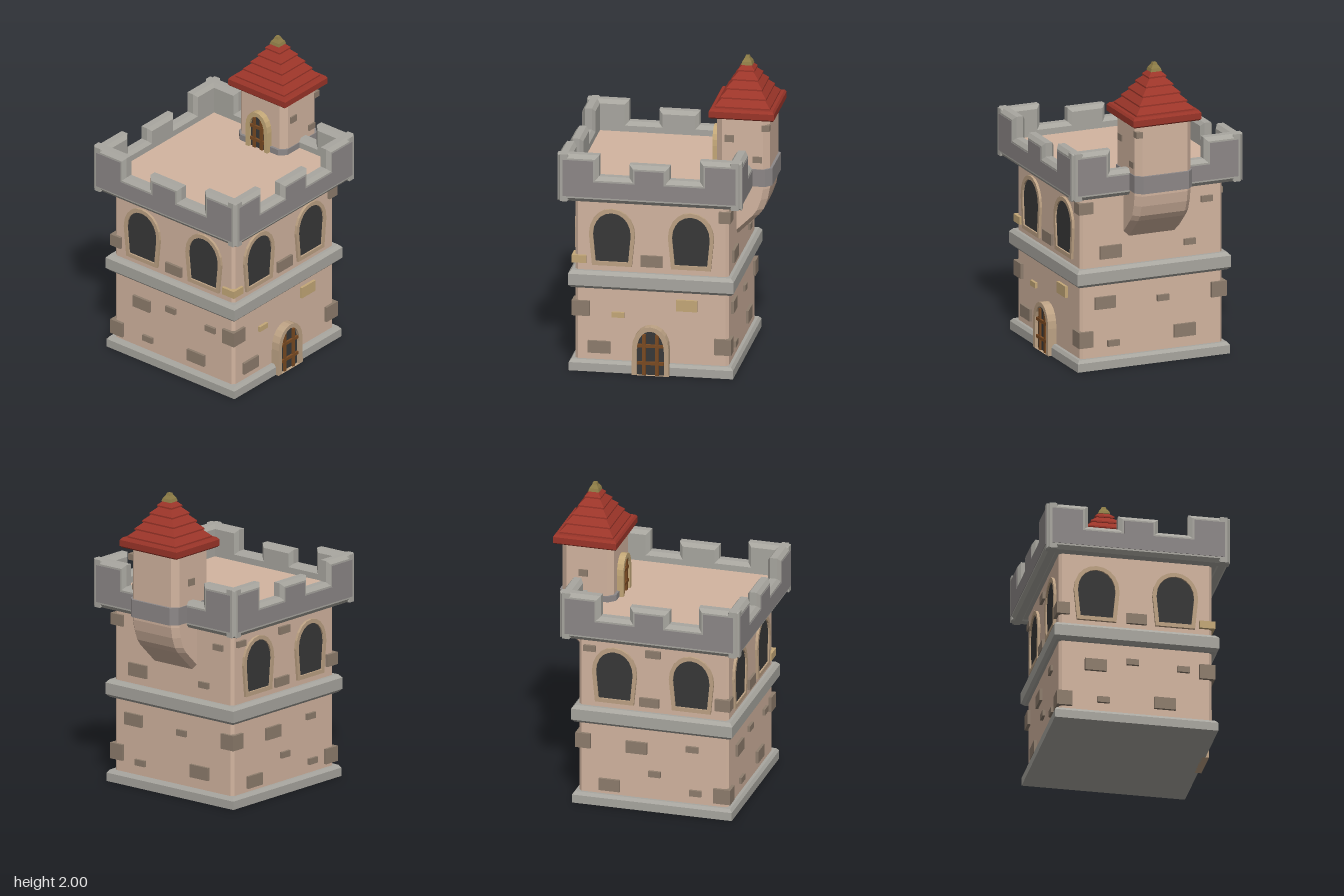
import * as THREE from 'three';

const C = {
  wall: 0xd3b5a0, trim: 0xa9a7a0, panel: 0x8d8888, brick: 0x8e7d6d, gold: 0xc4a878,
  frame: 0xbda284, dark: 0x383838, wood: 0x7a4a22, roof: 0x9c3529, finial: 0x8d7c46,
};
const mats = {};
const mat = (key) => (mats[key] ??= new THREE.MeshStandardMaterial({ color: C[key], flatShading: true }));

function add(parent, geo, key, name, x = 0, y = 0, z = 0) {
  const m = new THREE.Mesh(geo, mat(key));
  m.name = name;
  m.position.set(x, y, z);
  parent.add(m);
  return m;
}

// Stack of rectangular sections [y, halfX, halfZ, centreX], corners cut by c
function loft(rings, c = 0) {
  const loops = rings.map(([y, hx, hz, cx = 0]) => {
    const pts = c
      ? [[hx - c, hz], [hx, hz - c], [hx, c - hz], [hx - c, -hz], [c - hx, -hz], [-hx, c - hz], [-hx, hz - c], [c - hx, hz]]
      : [[hx, hz], [hx, -hz], [-hx, -hz], [-hx, hz]];
    return pts.map(([x, z]) => [cx + x, y, z]);
  });
  const out = [], n = loops[0].length, last = loops[loops.length - 1];
  const tri = (...p) => p.forEach((q) => out.push(...q));
  for (let r = 0; r + 1 < loops.length; r++) {
    for (let i = 0; i < n; i++) {
      const j = (i + 1) % n, a = loops[r], b = loops[r + 1];
      tri(a[i], a[j], b[j]);
      tri(a[i], b[j], b[i]);
    }
  }
  for (let i = 1; i < n - 1; i++) {
    tri(last[0], last[i], last[i + 1]);
    tri(loops[0][0], loops[0][i + 1], loops[0][i]);
  }
  const g = new THREE.BufferGeometry();
  g.setAttribute('position', new THREE.Float32BufferAttribute(out, 3));
  g.computeVertexNormals();
  return g;
}

// Arched outline: foot half-width, widest half-width, bottom and top heights
function arch(path, foot, wide, y0, y1) {
  const ym = y0 + (y1 - y0) * 0.55, yc = y0 + (y1 - y0) * 0.82;
  path.moveTo(-foot, y0);
  path.lineTo(foot, y0);
  path.lineTo(wide, ym);
  path.bezierCurveTo(wide, yc, wide * 0.55, y1, 0, y1);
  path.bezierCurveTo(-wide * 0.55, y1, -wide, yc, -wide, ym);
  path.closePath();
  return path;
}

// Framed arched opening facing +z
function opening(name, outer, inner, depth, frameKey) {
  const g = new THREE.Group();
  g.name = name;
  const shape = arch(new THREE.Shape(), ...outer);
  shape.holes.push(arch(new THREE.Path(), ...inner));
  add(g, new THREE.ExtrudeGeometry(shape, { depth, bevelEnabled: false, curveSegments: 5 }), frameKey, 'frame');
  add(g, new THREE.ShapeGeometry(arch(new THREE.Shape(), ...inner), 5), 'dark', 'darkPane', 0, 0, 0.006);
  return g;
}

// Wooden bars across a door opening
function bars(g, half, height, y0, z) {
  for (const s of [-1, 1]) add(g, new THREE.BoxGeometry(0.022, height * 0.92, 0.016), 'wood', 'doorBar', s * half * 0.48, y0 + height * 0.46, z);
  for (const f of [0.27, 0.66]) add(g, new THREE.BoxGeometry(half * 1.94, 0.02, 0.02), 'wood', 'doorCrossbar', 0, y0 + height * f, z);
}

// Crenellated wall outline, inset by d
function crenel(d) {
  const half = [[0.595 - d, 1.155 + d], [0.595 - d, 1.47 - d], [0.325 + d, 1.47 - d], [0.325 + d, 1.33 - d],
    [0.13 - d, 1.33 - d], [0.13 - d, 1.42 - d]];
  const pts = [...half, ...half.slice().reverse().map(([x, y]) => [-x, y])];
  return new THREE.Shape(pts.map(([x, y]) => new THREE.Vector2(x, y)));
}

// Bricks per face: [u0, u1, y0, y1, gold]
const BRICKS = {
  front: [[-0.515, -0.4, 0.365, 0.465], [-0.41, -0.265, 0.12, 0.2], [-0.255, -0.175, 0.365, 0.4, 1], [0.16, 0.295, 0.43, 0.505, 1],
    [-0.07, 0.07, 0.715, 0.79], [-0.515, -0.42, 0.72, 0.77, 1], [0.405, 0.515, 0.15, 0.255], [0.435, 0.512, 1.035, 1.11]],
  leftSide: [[-0.31, -0.23, 0.14, 0.18], [0.15, 0.3, 0.145, 0.23], [-0.4, -0.255, 0.395, 0.475], [0.035, 0.115, 0.4, 0.44],
    [0.41, 0.515, 0.38, 0.48], [-0.365, -0.215, 0.725, 0.81], [0.22, 0.3, 0.75, 0.79], [0.34, 0.42, 1.02, 1.06]],
  back: [[-0.05, 0.05, 1.05, 1.1], [-0.09, 0.04, 0.71, 0.77], [-0.18, -0.04, 0.38, 0.46], [-0.36, -0.22, 0.1, 0.18],
    [-0.03, 0.05, 0.23, 0.27], [0.24, 0.32, 0.13, 0.17], [0.4, 0.515, 0.1, 0.2], [-0.46, -0.38, 1.05, 1.09], [0.22, 0.3, 0.43, 0.47]],
  rightSide: [[-0.33, -0.19, 0.36, 0.44], [-0.06, 0.02, 0.42, 0.46], [0.12, 0.26, 0.13, 0.21], [-0.25, -0.17, 0.14, 0.18],
    [-0.06, 0.07, 0.71, 0.78], [0.27, 0.35, 0.4, 0.44], [-0.515, -0.43, 0.74, 0.82]],
};

export function createModel() {
  const model = new THREE.Group();
  model.name = 'castleTower';
  const tower = new THREE.Group();
  tower.name = 'mainTower';
  tower.position.x = -0.075;
  model.add(tower);

  // Main body, plinth, belt and roof deck
  add(tower, loft([[0.02, 0.495, 0.495], [1.2, 0.495, 0.495]], 0.018), 'wall', 'towerBody');
  add(tower, loft([[0, 0.53, 0.53], [0.055, 0.53, 0.53], [0.075, 0.515, 0.515]]), 'trim', 'plinth');
  add(tower, loft([[0.555, 0.515, 0.515], [0.575, 0.535, 0.535], [0.65, 0.535, 0.535], [0.672, 0.515, 0.515]]), 'trim', 'belt');
  add(tower, loft([[1.165, 0.54, 0.54], [1.2, 0.54, 0.54]]), 'trim', 'parapetFloor');
  add(tower, loft([[1.2, 0.53, 0.53], [1.265, 0.53, 0.53]]), 'wall', 'roofDeck');

  // Four faces: parapet, bricks, windows
  const wallGeo = new THREE.ExtrudeGeometry(crenel(0.025), { depth: 0.045, bevelThickness: 0.02, bevelSize: 0.025, bevelSegments: 1 });
  const panelGeo = new THREE.ExtrudeGeometry(crenel(0.036), { depth: 0.01, bevelEnabled: false });
  Object.keys(BRICKS).forEach((name, k) => {
    const face = new THREE.Group();
    face.name = name;
    face.rotation.y = k * Math.PI / 2;
    tower.add(face);
    add(face, wallGeo, 'trim', 'parapet', 0, 0, 0.53);
    add(face, panelGeo, 'panel', 'parapetPanel', 0, 0, 0.588);
    for (const [u0, u1, y0, y1, gold] of BRICKS[name]) {
      add(face, new THREE.BoxGeometry(u1 - u0, y1 - y0, 0.1), gold ? 'gold' : 'brick', 'brick', (u0 + u1) / 2, (y0 + y1) / 2, 0.463);
    }
    if (name === 'leftSide') return;
    for (const s of [-1, 1]) {
      const win = opening('window', [0.128, 0.148, 0.71, 1.09], [0.105, 0.122, 0.737, 1.063], 0.017, 'frame');
      win.position.set(s * 0.255, 0, 0.495);
      face.add(win);
    }
  });

  // Front door
  const door = opening('frontDoor', [0.12, 0.118, 0, 0.325], [0.088, 0.088, 0, 0.297], 0.058, 'frame');
  door.children[1].position.z = 0.037;
  bars(door, 0.088, 0.297, 0, 0.042);
  door.position.z = 0.495;
  tower.add(door);

  // Side turret with its curved corbel, collar and stepped roof
  const turret = new THREE.Group();
  turret.name = 'turret';
  turret.position.x = 0.458;
  model.add(turret);
  const corbel = [[0.855, 0.42], [0.99, 0.56], [1.03, 0.59], [1.1, 0.615], [1.17, 0.628], [1.66, 0.628]];
  add(turret, loft(corbel.map(([y, x]) => [y, (x - 0.288) / 2, 0.195, (x + 0.288) / 2 - 0.458]), 0.038), 'wall', 'turretBody');
  add(turret, loft([[1.19, 0.187, 0.2], [1.305, 0.187, 0.2]], 0.042), 'panel', 'collar');

  const roof = [[1.64, 0.2], [1.65, 0.21], [1.69, 0.21], [1.705, 0.2]];
  for (let i = 0; i < 5; i++) {
    const y = 1.705 + i * 0.051, h = 0.178 - i * 0.031;
    roof.push([y, h], [y + 0.01, h], [y + 0.051, h - 0.039]);
  }
  add(turret, loft(roof.map(([y, h]) => [y, h, h * 1.13])), 'roof', 'turretRoof');
  add(turret, loft([[1.945, 0.036, 0.038], [1.965, 0.03, 0.032], [1.985, 0.017, 0.018], [2, 0.012, 0.012]]), 'finial', 'finial');

  // Turret door opening on to the deck
  const hatch = opening('turretDoor', [0.09, 0.09, 1.26, 1.53], [0.062, 0.062, 1.26, 1.5], 0.043, 'gold');
  hatch.children[1].position.z = 0.022;
  bars(hatch, 0.062, 0.24, 1.26, 0.026);
  hatch.position.x = -0.17;
  hatch.rotation.y = -Math.PI / 2;
  turret.add(hatch);

  // Turret bricks: [x, y, z, width, height, depth]
  for (const [x, y, z, w, h, d] of [[-0.083, 1.503, 0.18, 0.06, 0.045, 0.05], [0.097, 1.37, 0.18, 0.06, 0.04, 0.05],
    [0.15, 1.58, 0.177, 0.05, 0.04, 0.045], [0.02, 1.45, -0.18, 0.06, 0.045, 0.05]]) {
    add(turret, new THREE.BoxGeometry(w, h, d), 'brick', 'turretBrick', x, y, z);
  }
  return model;
}
